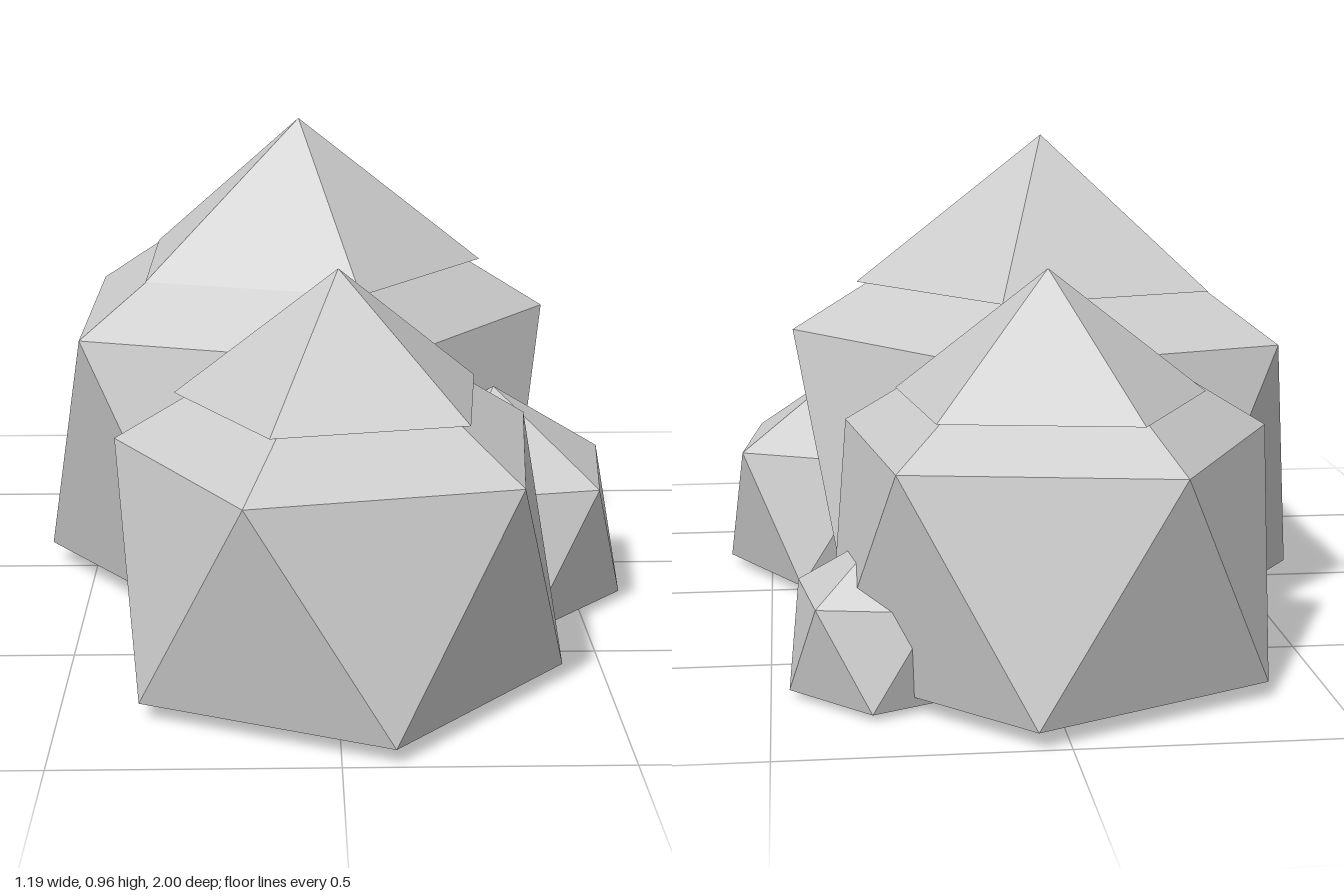
import * as THREE from 'three';

const material = new THREE.MeshStandardMaterial({ color: 0xcccccc, flatShading: true });

// Icosahedron standing on one corner, its underside pressed nearly flat
function boulderGeometry(radius) {
  const geo = new THREE.IcosahedronGeometry(radius, 0);
  geo.rotateZ(-Math.atan(2 / (1 + Math.sqrt(5))));
  const pos = geo.attributes.position;
  for (let i = 0; i < pos.count; i++) {
    pos.setY(i, Math.max(pos.getY(i), -0.51 * radius));
  }
  geo.computeVertexNormals();
  return geo;
}

// Five-sided pointed cap, tip at the origin, one corner towards +x
function capGeometry(radius, height) {
  const geo = new THREE.ConeGeometry(radius, height, 5);
  geo.translate(0, -height / 2, 0);
  geo.rotateY(Math.PI / 2);
  return geo;
}

function addPart(group, name, geometry, position, degrees) {
  const mesh = new THREE.Mesh(geometry, material);
  mesh.name = name;
  mesh.position.set(...position);
  mesh.rotation.y = -THREE.MathUtils.degToRad(degrees);
  group.add(mesh);
}

export function createModel() {
  const group = new THREE.Group();
  group.name = 'rockCluster';

  // Boulders: centre, radius, turn in degrees, and the cap tip where there is one
  const rocks = [
    { name: 'middle', at: [-0.075, 0.303, -0.035], r: 0.584, turn: 0, tip: [-0.064, 0.96, -0.044] },
    { name: 'front', at: [0.005, 0.239, 0.592], r: 0.465, turn: 42, tip: [0.003, 0.77, 0.578] },
    { name: 'back', at: [-0.015, 0.239, -0.592], r: 0.465, turn: 28, tip: [-0.006, 0.757, -0.614] },
    { name: 'smallSide', at: [0.326, 0.152, 0.195], r: 0.296, turn: 43 },
    { name: 'tinySide', at: [0.293, 0.1, -0.66], r: 0.196, turn: 28.5 },
  ];

  for (const { name, at, r, turn, tip } of rocks) {
    addPart(group, name + 'Boulder', boulderGeometry(r), at, turn);
    if (tip) addPart(group, name + 'Cap', capGeometry(0.65 * r, 0.51 * r), tip, turn);
  }
  return group;
}
